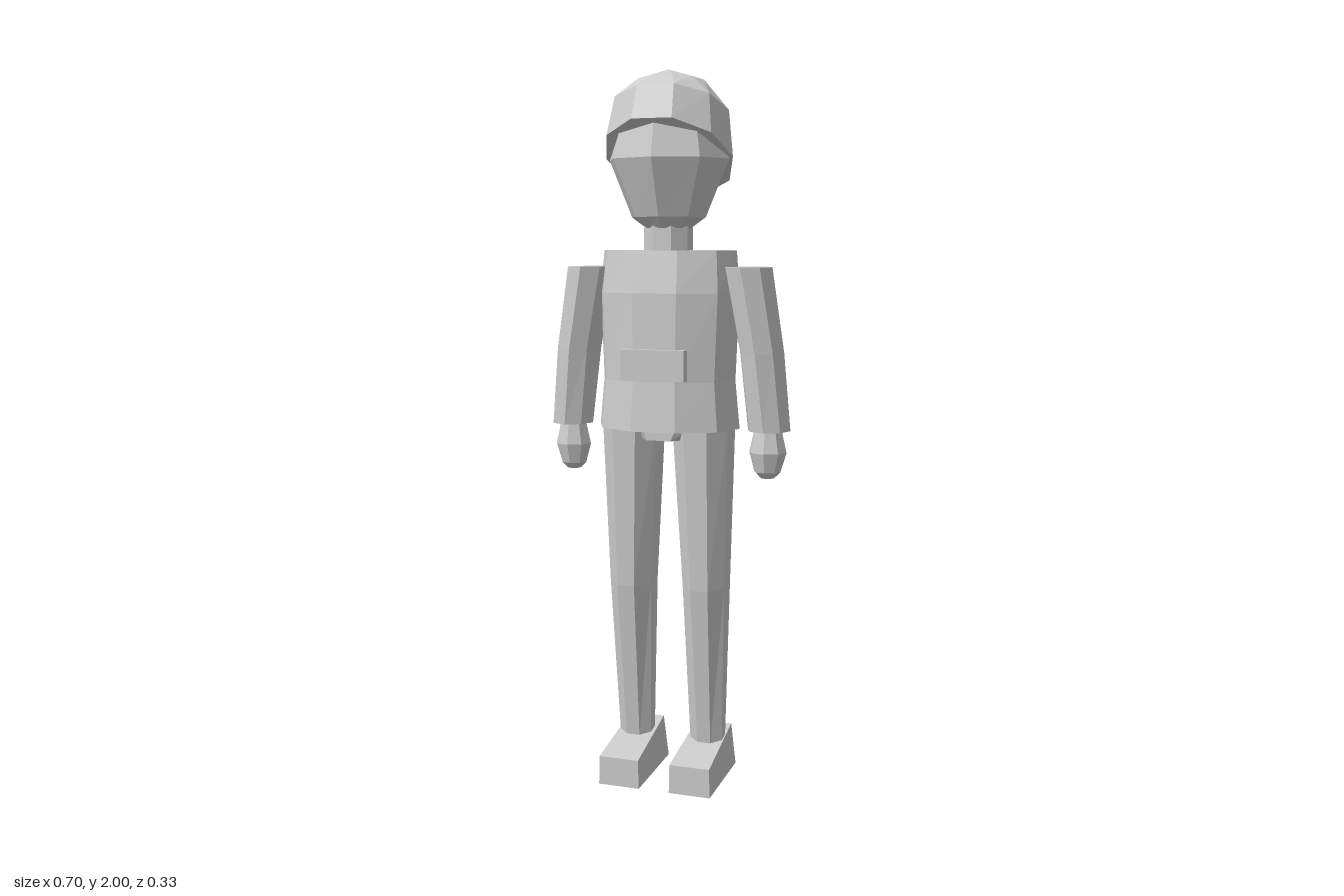
import * as THREE from 'three';

// Closed loft through elliptical rings, listed bottom to top.
// ring: [cx, cy, cz, rx, rz, slope] where slope tilts the ring along z
function loft(rings, sides, phase = 0) {
  const pos = [], index = [];
  for (const [cx, cy, cz, rx, rz, slope = 0] of rings) {
    for (let i = 0; i < sides; i++) {
      const a = (i / sides) * Math.PI * 2 + phase;
      const dz = Math.sin(a) * rz;
      pos.push(cx + Math.cos(a) * rx, cy + slope * dz, cz + dz);
    }
  }
  const top = (rings.length - 1) * sides;
  const lowCentre = rings.length * sides, highCentre = lowCentre + 1;
  pos.push(...rings[0].slice(0, 3), ...rings[rings.length - 1].slice(0, 3));
  for (let i = 0; i < sides; i++) {
    const k = (i + 1) % sides;
    for (let r = 0; r < top; r += sides) {
      const a = r + i, b = r + k, c = a + sides, d = b + sides;
      index.push(a, c, b, b, c, d);
    }
    index.push(lowCentre, i, k, highCentre, top + k, top + i);
  }
  const g = new THREE.BufferGeometry();
  g.setAttribute('position', new THREE.Float32BufferAttribute(pos, 3));
  g.setIndex(index);
  const flat = g.toNonIndexed();
  flat.computeVertexNormals();
  return flat;
}

export function createModel() {
  const model = new THREE.Group();
  model.name = 'figure';
  const grey = new THREE.MeshStandardMaterial({ color: 0xcccccc, flatShading: true });
  grey.name = 'lightGrey';
  const add = (name, geometry) => {
    const mesh = new THREE.Mesh(geometry, grey);
    mesh.name = name;
    model.add(mesh);
    return mesh;
  };

  // Head, with a tilted cap of hair and a short neck
  add('head', loft([
    [0, 1.575, 0.013, 0.065, 0.065],
    [0, 1.605, 0.013, 0.107, 0.09],
    [0, 1.76, 0.013, 0.172, 0.15],
    [0, 1.87, 0.013, 0.145, 0.125],
  ], 8));
  add('hair', loft([
    [0, 1.765, 0.012, 0.182, 0.155, 0.64],
    [0, 1.89, -0.006, 0.165, 0.138, 0.46],
    [0, 1.972, -0.006, 0.095, 0.083, 0.1],
    [0, 2.0, 0.015, 0.001, 0.001],
  ], 10));
  add('neck', loft([
    [0, 1.5, 0.015, 0.068, 0.063],
    [0, 1.6, 0.015, 0.068, 0.063],
  ], 8, Math.PI / 8));

  // Jacket, hips, front pouch and folded hood
  add('torso', loft([
    [0, 1.025, 0.011, 0.206, 0.152],
    [0, 1.16, 0.011, 0.193, 0.14],
    [0, 1.4, 0.01, 0.203, 0.138],
    [0, 1.515, 0.005, 0.193, 0.122],
  ], 10));
  add('hips', loft([
    [0, 0.995, 0.008, 0.09, 0.103],
    [0, 1.06, 0.008, 0.16, 0.103],
  ], 8, Math.PI / 8));
  const pouch = add('pouch', new THREE.BoxGeometry(0.18, 0.085, 0.04));
  pouch.position.set(0, 1.207, 0.138);
  add('hood', loft([
    [0, 1.4, -0.115, 0.055, 0.025],
    [0, 1.425, -0.113, 0.085, 0.046],
    [0, 1.465, -0.11, 0.104, 0.055],
    [0, 1.507, -0.105, 0.08, 0.035],
    [0, 1.495, -0.105, 0.05, 0.02],
  ], 10));

  for (const [side, s] of [['left', 1], ['right', -1]]) {
    // Sleeve and hand
    add(side + 'Arm', loft([
      [s * 0.29, 1.025, 0.011, 0.06, 0.067],
      [s * 0.268, 1.24, 0.012, 0.062, 0.08],
      [s * 0.228, 1.47, 0.013, 0.067, 0.088],
    ], 8));
    add(side + 'Hand', loft([
      [s * 0.287, 0.893, 0.015, 0.02, 0.02],
      [s * 0.287, 0.91, 0.015, 0.037, 0.035],
      [s * 0.288, 0.965, 0.015, 0.053, 0.05],
      [s * 0.288, 1.04, 0.015, 0.035, 0.035],
    ], 8));

    // Trouser leg
    add(side + 'Leg', loft([
      [s * 0.108, 0.1, -0.022, 0.051, 0.044],
      [s * 0.109, 0.57, 0.002, 0.066, 0.08],
      [s * 0.103, 1.05, 0.013, 0.088, 0.096],
    ], 8, Math.PI / 8));

    // Wedge shoe: taller and narrower towards the heel
    const shoe = new THREE.BoxGeometry(0.12, 1, 1);
    const p = shoe.attributes.position;
    for (let i = 0; i < p.count; i++) {
      const up = p.getY(i) > 0, front = p.getZ(i) > 0;
      p.setY(i, up ? (front ? 0.083 : 0.13) : 0);
      p.setZ(i, front ? 0.15 : up ? -0.097 : -0.122);
      if (up) p.setX(i, p.getX(i) * (front ? 0.97 : 0.88));
    }
    shoe.computeVertexNormals();
    add(side + 'Shoe', shoe).position.x = s * 0.105;
  }
  return model;
}
